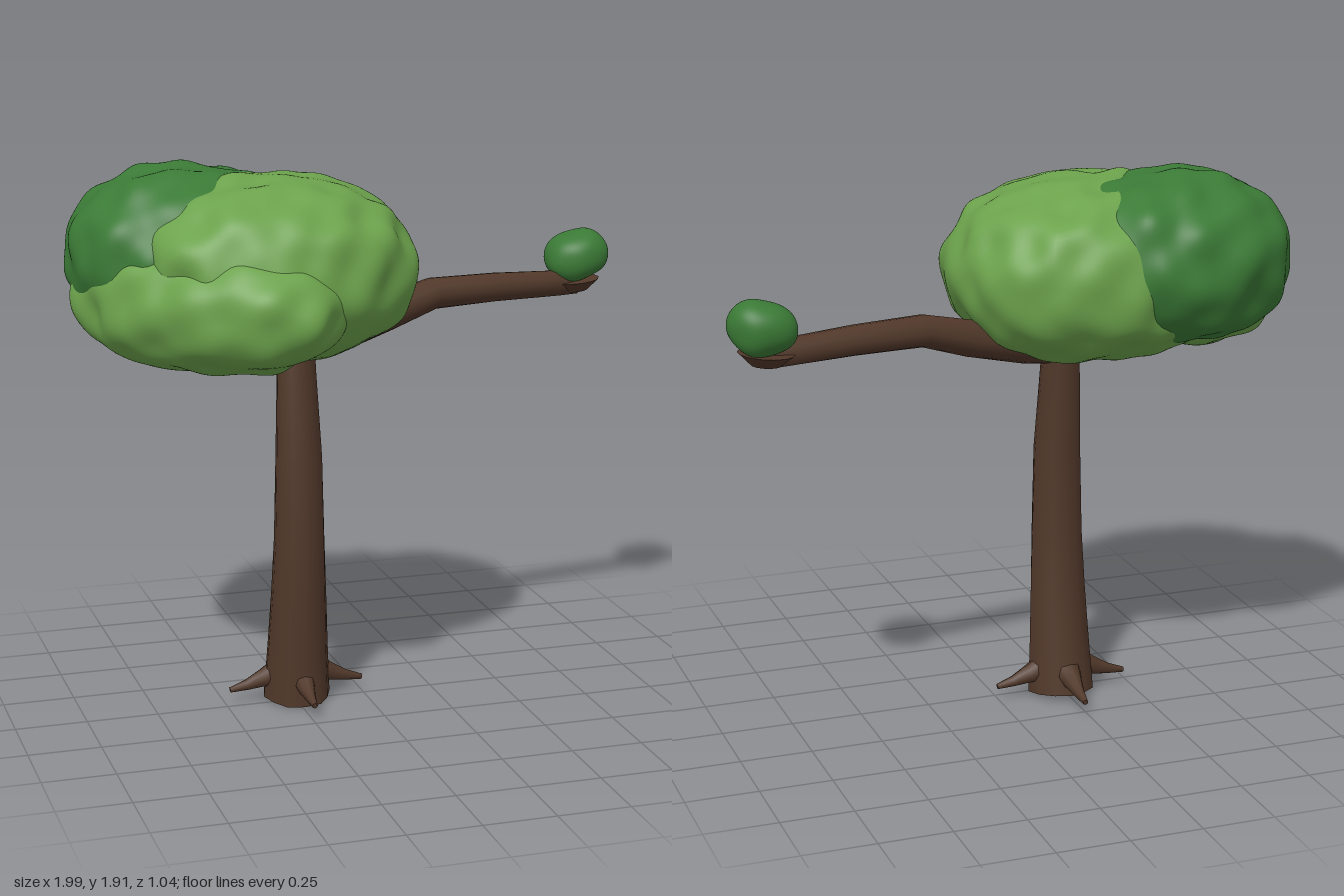
import * as THREE from 'three';
import { mergeVertices } from 'three/addons/utils/BufferGeometryUtils.js';

const bark = new THREE.MeshStandardMaterial({ color: 0x51382a });
const lightLeaf = new THREE.MeshStandardMaterial({ color: 0x6ca24c });
const darkLeaf = new THREE.MeshStandardMaterial({ color: 0x3b7a36 });

// Smooth limb through sections [x, y, z, radius], capped at both ends
function limb(name, sections, sides = 12, ridge = 0.04) {
  const centres = sections.map(s => new THREE.Vector3(s[0], s[1], s[2]));
  const pos = [], index = [], last = sections.length - 1;
  const rings = centres.map((c, i) => {
    const t = centres[Math.min(i + 1, last)].clone().sub(centres[Math.max(i - 1, 0)]).normalize();
    const ref = Math.abs(t.z) > 0.8 ? new THREE.Vector3(1, 0, 0) : new THREE.Vector3(0, 0, 1);
    const u = ref.addScaledVector(t, -ref.dot(t)).normalize();
    const v = t.clone().cross(u);
    return Array.from({ length: sides }, (_, j) => {
      const a = j / sides * Math.PI * 2;
      const r = sections[i][3] * (1 + ridge * Math.sin(j * 2.4 + i * 0.5));
      return c.clone().addScaledVector(u, r * Math.cos(a)).addScaledVector(v, r * Math.sin(a));
    });
  });
  rings.forEach(ring => ring.forEach(p => pos.push(p.x, p.y, p.z)));
  for (let i = 0; i < last; i++) {
    for (let j = 0; j < sides; j++) {
      const a = i * sides + j, b = i * sides + (j + 1) % sides;
      index.push(a, b, a + sides, b, b + sides, a + sides);
    }
  }
  for (const end of [0, last]) {
    const k = pos.length / 3;
    [centres[end], ...rings[end]].forEach(p => pos.push(p.x, p.y, p.z));
    for (let j = 0; j < sides; j++) {
      const a = k + 1 + j, b = k + 1 + (j + 1) % sides;
      index.push(k, end ? a : b, end ? b : a);
    }
  }
  const geo = new THREE.BufferGeometry();
  geo.setAttribute('position', new THREE.Float32BufferAttribute(pos, 3));
  geo.setIndex(index);
  geo.computeVertexNormals();
  const mesh = new THREE.Mesh(geo, bark);
  mesh.name = name;
  return mesh;
}

// Waves running in many directions add up to irregular lumps
const WAVES = 14;
const waves = Array.from({ length: WAVES }, (_, i) => {
  const y = 1 - (i + 0.5) / WAVES * 2, r = Math.sqrt(1 - y * y), a = i * 2.39996;
  return new THREE.Vector3(r * Math.cos(a), y, r * Math.sin(a)).multiplyScalar(0.7 + 0.6 * ((i * 0.618) % 1));
});
function lumps(p, seed, freq) {
  const sum = waves.reduce((s, w, i) => s + Math.sin(freq * w.dot(p) + seed * (i + 1) * 1.9), 0);
  return sum / Math.sqrt(WAVES);
}

// Slightly boxy ellipsoid with lumps; turn rotates it about y
function foliage(name, material, centre, radii, { turn = 0, seed = 1, amount = 0.009, freq = 38, detail = 28 } = {}) {
  let geo = new THREE.IcosahedronGeometry(1, detail);
  geo.deleteAttribute('uv');
  geo.deleteAttribute('normal');
  geo = mergeVertices(geo, 1e-4);
  const pos = geo.attributes.position, p = new THREE.Vector3(), n = new THREE.Vector3();
  for (let i = 0; i < pos.count; i++) {
    n.fromBufferAttribute(pos, i).normalize();
    const e = 2.25;
    const k = Math.pow(Math.abs(n.x) ** e + Math.abs(n.y) ** e + Math.abs(n.z) ** e, -1 / e);
    p.set(n.x * radii[0], n.y * radii[1], n.z * radii[2]).multiplyScalar(k);
    p.addScaledVector(n, amount * lumps(p, seed, freq));
    pos.setXYZ(i, p.x, p.y, p.z);
  }
  geo.computeVertexNormals();
  const mesh = new THREE.Mesh(geo, material);
  mesh.name = name;
  mesh.position.set(...centre);
  mesh.rotation.y = turn;
  return mesh;
}

export function createModel() {
  const tree = new THREE.Group();
  tree.name = 'tree';

  // Bowed trunk
  tree.add(limb('trunk', [
    [-0.24, 0.014, -0.03, 0.118], [-0.24, 0.2, -0.012, 0.106], [-0.24, 0.4, 0.008, 0.096],
    [-0.24, 0.6, 0.02, 0.088], [-0.24, 0.9, 0.02, 0.081], [-0.24, 1.2, -0.007, 0.068],
    [-0.24, 1.34, -0.015, 0.064],
  ]));

  // Four pointed roots
  for (let i = 0; i < 4; i++) {
    const a = i * Math.PI / 2, dx = Math.cos(a), dz = Math.sin(a);
    const at = (d, y, r) => [-0.24 + dx * d, y, -0.035 + dz * d, r];
    tree.add(limb('root', [
      at(0.06, 0.105, 0.05), at(0.12, 0.083, 0.034), at(0.18, 0.063, 0.02), at(0.242, 0.05, 0.01),
    ], 8, 0));
  }

  // Long side branch ending in a flared tip
  tree.add(limb('branch', [
    [-0.27, 1.27, 0, 0.06], [-0.1, 1.305, -0.035, 0.068], [0.12, 1.36, -0.1, 0.064],
    [0.3, 1.41, -0.138, 0.056], [0.55, 1.41, -0.182, 0.052], [0.8, 1.402, -0.228, 0.047],
    [0.88, 1.396, -0.245, 0.04],
  ]));
  const tip = new THREE.Mesh(new THREE.CylinderGeometry(0.095, 0.05, 0.04, 14), bark);
  tip.name = 'branchTip';
  tip.position.set(0.872, 1.39, -0.245);
  tip.rotation.z = 0.08;
  tree.add(tip);

  // Crown of three overlapping masses, and the tuft on the branch
  tree.add(
    foliage('mainFoliage', lightLeaf, [-0.33, 1.56, -0.015], [0.49, 0.315, 0.45], { seed: 1.3 }),
    foliage('frontFoliage', lightLeaf, [-0.575, 1.465, 0.095], [0.5, 0.22, 0.28], { turn: -0.835, seed: 4.1 }),
    foliage('backFoliage', darkLeaf, [-0.58, 1.605, -0.15], [0.415, 0.292, 0.36], { seed: 7.7 }),
    foliage('branchTuft', darkLeaf, [0.883, 1.495, -0.25], [0.112, 0.09, 0.106], { seed: 2.2, amount: 0.006, detail: 10 }),
  );
  return tree;
}
